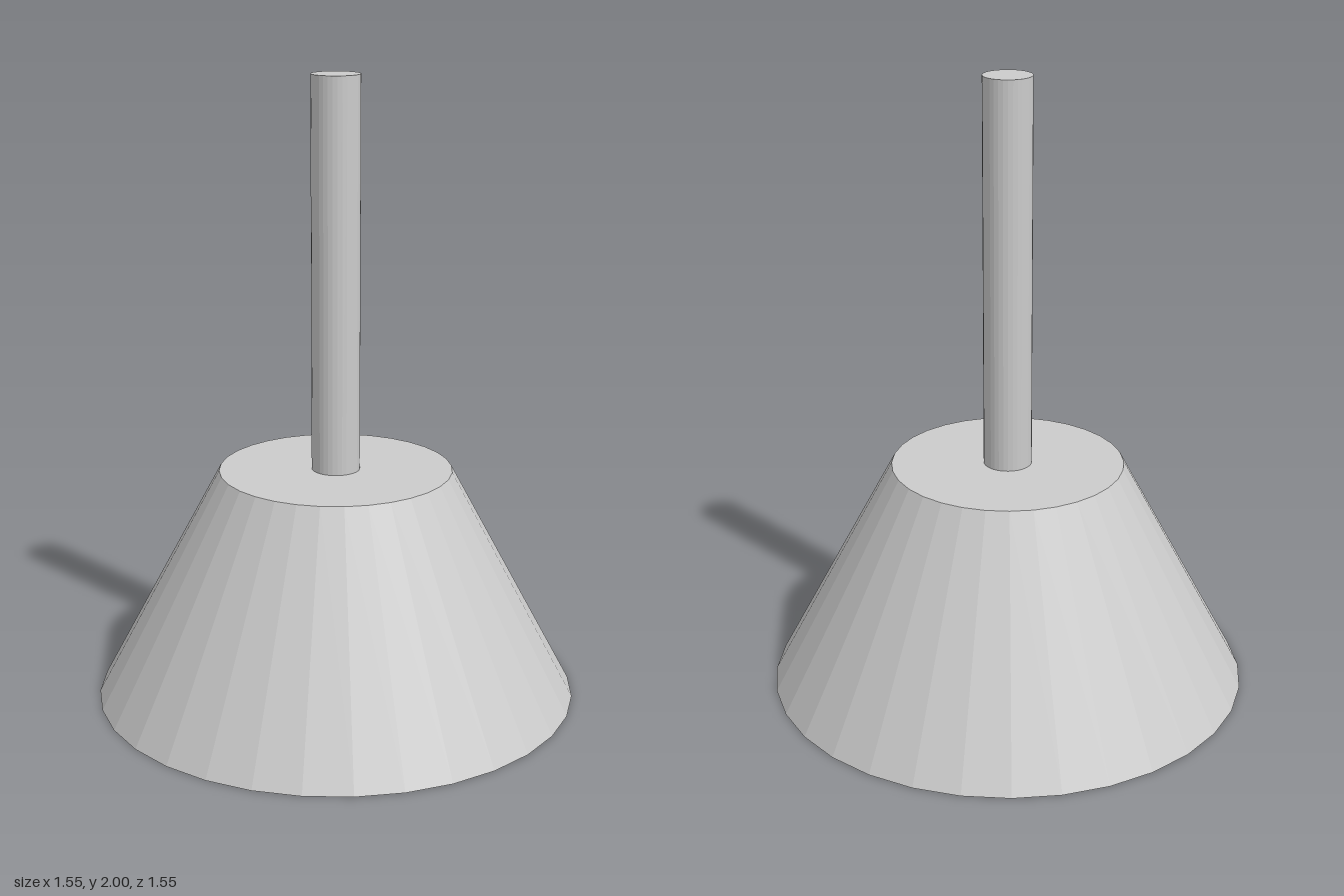
import * as THREE from 'three';

const SIDES = 32;

export function createModel() {
  const model = new THREE.Group();
  const material = new THREE.MeshStandardMaterial({ color: 0xcccccc, flatShading: true });

  // Hollow conical cup: from the inner ceiling, round the rim, up to the flat top
  const profile = [
    [0, 0.53], [0.4, 0.53], [0.68, 0], [0.775, 0], [0.373, 0.75], [0, 0.75],
  ].map(([r, y]) => new THREE.Vector2(r, y));
  const cup = new THREE.Mesh(new THREE.LatheGeometry(profile, SIDES), material);
  cup.name = 'hollowCup';
  model.add(cup);

  // Straight rod standing on the cup
  const rod = new THREE.Mesh(new THREE.CylinderGeometry(0.077, 0.077, 1.25, SIDES), material);
  rod.name = 'rod';
  rod.position.y = 1.375;
  model.add(rod);

  return model;
}
